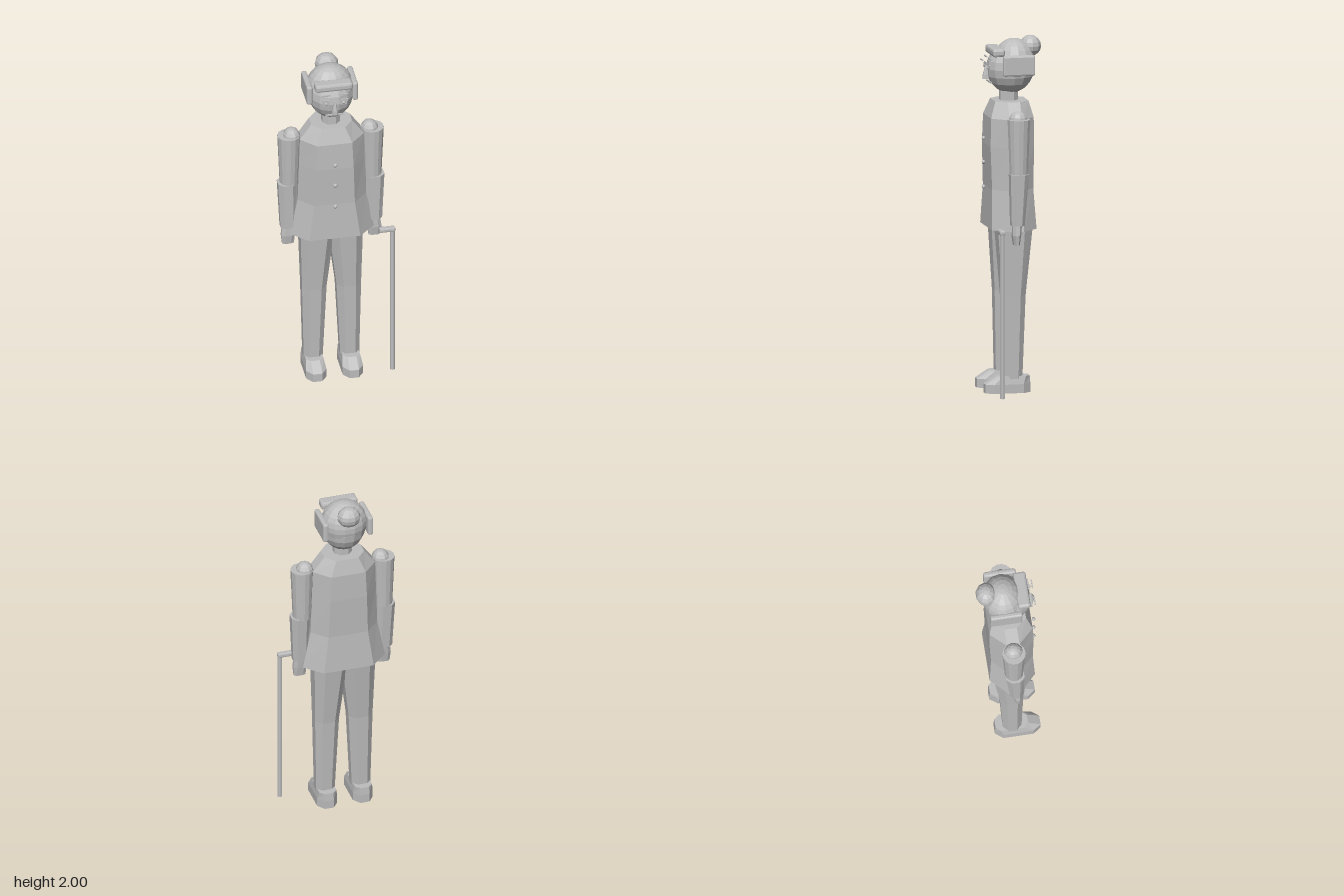
import * as THREE from 'three';
import { RoundedBoxGeometry } from 'three/addons/geometries/RoundedBoxGeometry.js';

const CX = -0.025; // centre line of the figure
const grey = new THREE.MeshStandardMaterial({ color: 0xbdbdbd, flatShading: true });
grey.name = 'grey';

// Eight-sided solid through stacked sections:
// half width w, half depth d, front face half width a, side face half depth s
function loft(sections) {
  const pos = [], idx = [], n = 8;
  for (const { y, x = 0, z = 0, w, d, a = w * 0.5, s = d * 0.45 } of sections) {
    const ring = [[w, s], [w, -s], [a, -d], [-a, -d], [-w, -s], [-w, s], [-a, d], [a, d]];
    for (const [px, pz] of ring) pos.push(x + px, y, z + pz);
  }
  const last = sections.length - 1;
  for (let r = 0; r < last; r++) {
    for (let i = 0; i < n; i++) {
      const j = (i + 1) % n, lo = r * n, hi = lo + n;
      idx.push(lo + i, lo + j, hi + j, lo + i, hi + j, hi + i);
    }
  }
  for (let i = 1; i < n - 1; i++) {
    idx.push(0, i + 1, i); // bottom cap
    idx.push(last * n, last * n + i, last * n + i + 1); // top cap
  }
  const g = new THREE.BufferGeometry();
  g.setAttribute('position', new THREE.Float32BufferAttribute(pos, 3));
  g.setIndex(idx);
  g.computeVertexNormals();
  return g;
}

export function createModel() {
  const model = new THREE.Group();
  const add = (name, geo, x = 0, y = 0, z = 0) => {
    const m = new THREE.Mesh(geo, grey);
    m.name = name;
    m.position.set(x, y, z);
    model.add(m);
    return m;
  };
  const box = (w, h, d) => new THREE.BoxGeometry(w, h, d);
  const round = (w, h, d, r) => new RoundedBoxGeometry(w, h, d, 1, r);
  const ball = (rx, ry, rz, seg, rows) => new THREE.SphereGeometry(1, seg, rows).scale(rx, ry, rz);

  // Coat, flared at the hem, with its buttons
  add('coat', loft([
    { y: 0.925, z: 0.01, w: 0.24, d: 0.128, a: 0.145, s: 0.035 },
    { y: 1.15, z: 0.012, w: 0.195, d: 0.118, a: 0.115, s: 0.035 },
    { y: 1.39, z: 0.012, w: 0.187, d: 0.125, a: 0.107, s: 0.035 },
    { y: 1.55, z: 0.01, w: 0.182, d: 0.122, a: 0.1, s: 0.035 },
    { y: 1.64, z: 0.005, w: 0.116, d: 0.095, a: 0.065, s: 0.035 },
  ]), CX);
  for (const y of [1.425, 1.29, 1.15]) add('button', ball(0.012, 0.012, 0.01, 8, 6), CX, y, 0.153);

  // Neck and head
  add('neck', new THREE.CylinderGeometry(0.053, 0.055, 0.1, 8).rotateY(Math.PI / 8), CX, 1.67, 0.01);
  add('head', ball(0.128, 0.142, 0.135, 14, 10), CX, 1.818, 0);

  // Hair: cap, bun, fringe and side locks
  const cap = new THREE.SphereGeometry(1, 14, 8, 0, Math.PI * 2, 0, Math.PI * 0.62);
  add('hairCap', cap.scale(0.132, 0.132, 0.117), CX, 1.853, -0.022);
  add('hairBun', ball(0.067, 0.06, 0.06, 10, 8), CX, 1.94, -0.116);
  add('fringe', round(0.212, 0.045, 0.07, 0.013), CX, 1.918, 0.086);

  // Face
  add('nose', loft([
    { y: 1.762, z: 0.138, w: 0.018, d: 0.02 },
    { y: 1.785, z: 0.138, w: 0.015, d: 0.018 },
    { y: 1.838, z: 0.132, w: 0.006, d: 0.01 },
  ]), CX);
  add('mouth', box(0.1, 0.007, 0.009), CX, 1.745, 0.121);

  for (const side of [-1, 1]) {
    const at = (off) => CX + side * off;
    const name = (part) => (side > 0 ? 'left' : 'right') + part;

    add(name('HairLock'), round(0.032, 0.116, 0.182, 0.01), at(0.13), 1.848, -0.021);
    add(name('Eyebrow'), box(0.055, 0.007, 0.008), at(0.05), 1.88, 0.128);
    add(name('Eyelid'), box(0.05, 0.006, 0.007), at(0.05), 1.861, 0.151);
    add(name('Eye'), box(0.04, 0.026, 0.009), at(0.05), 1.83, 0.131);
    add(name('Pupil'), ball(0.009, 0.009, 0.006, 8, 6), at(0.05), 1.83, 0.137);

    // Arm: shoulder, sleeve, forearm and hand
    add(name('Shoulder'), ball(0.05, 0.055, 0.055, 10, 8), at(0.222), 1.552, 0.004);
    const sleeve = new THREE.CylinderGeometry(0.065, 0.052, 0.315, 14);
    add(name('Sleeve'), sleeve, at(0.237), 1.405, 0.005);
    add(name('Forearm'), loft([
      { y: 0.965, x: side * 0.243, z: 0.015, w: 0.046, d: 0.037 },
      { y: 1.255, x: side * 0.249, z: 0.008, w: 0.053, d: 0.052 },
    ]), CX);
    add(name('Hand'), loft([
      { y: 0.855, x: side * 0.246, z: 0.022, w: 0.033, d: 0.016 },
      { y: 0.91, x: side * 0.246, z: 0.022, w: 0.039, d: 0.024 },
      { y: 0.97, x: side * 0.242, z: 0.018, w: 0.035, d: 0.026 },
    ]), CX);

    // Leg and shoe
    add(name('Leg'), loft([
      { y: 0.08, x: side * 0.104, z: 0.012, w: 0.054, d: 0.052 },
      { y: 0.55, x: side * 0.098, z: 0.008, w: 0.07, d: 0.066 },
      { y: 0.94, x: side * 0.08, z: 0, w: 0.098, d: 0.1 },
    ]), CX);
    add(name('Shoe'), loft([
      { y: 0, z: 0.043, w: 0.058, d: 0.129, a: 0.026, s: 0.085 },
      { y: 0.05, z: 0.043, w: 0.058, d: 0.129, a: 0.026, s: 0.085 },
      { y: 0.095, z: 0.01, w: 0.05, d: 0.092, a: 0.025, s: 0.065 },
    ]), at(0.104));
  }

  // Walking cane
  add('caneShaft', new THREE.CylinderGeometry(0.014, 0.014, 0.93, 8), 0.306, 0.465, 0.12);
  add('caneHandle', round(0.09, 0.026, 0.032, 0.007), 0.275, 0.938, 0.12);

  return model;
}
